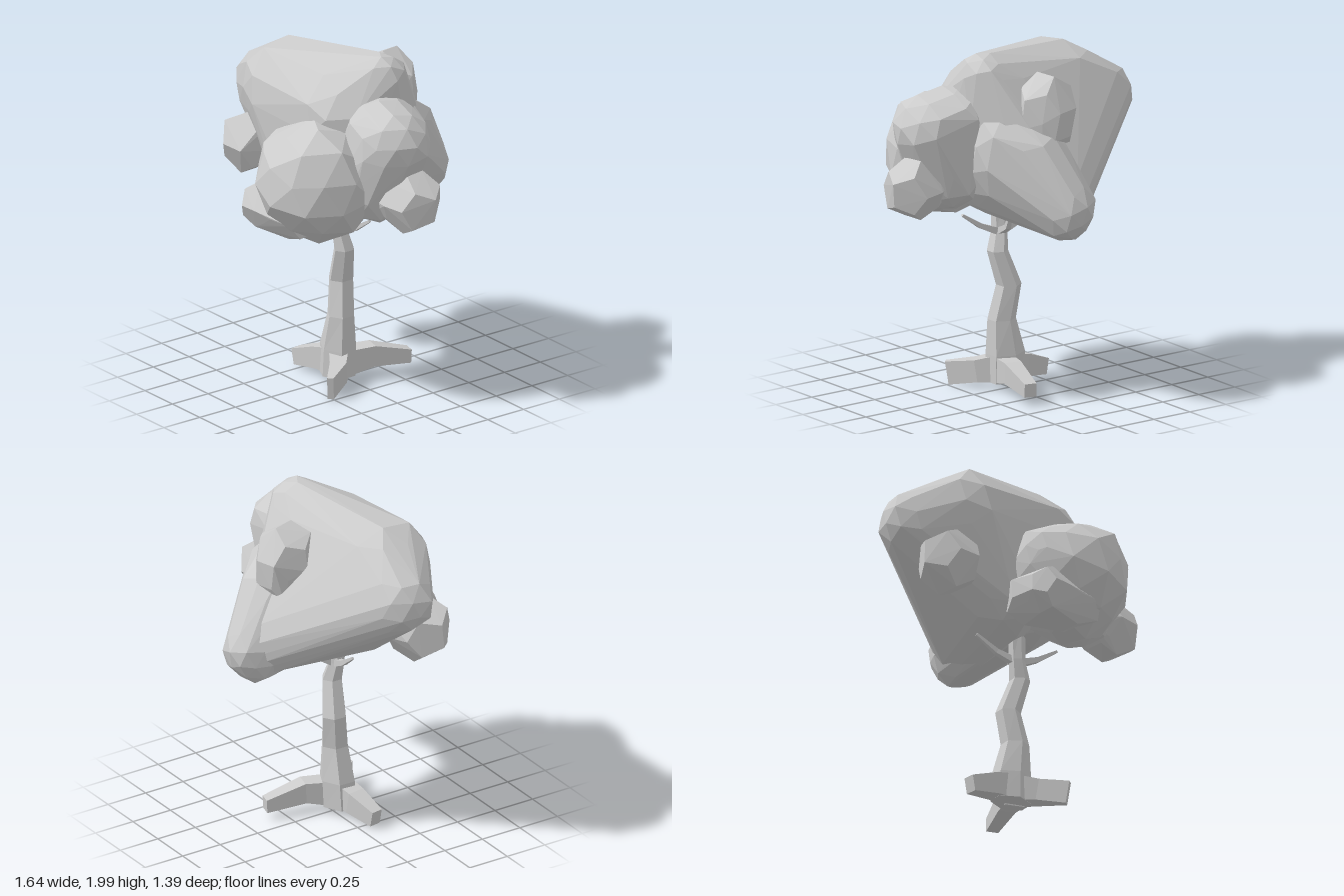
import * as THREE from 'three';
import { ConvexGeometry } from 'three/addons/geometries/ConvexGeometry.js';

const material = new THREE.MeshStandardMaterial({ color: 0xcccccc, flatShading: true });

// Small seeded generator, so every clump is slightly irregular
let seed = 7;
const rand = () => {
  seed = (seed * 16807) % 2147483647;
  return seed / 2147483647;
};

// Foliage clump: convex hull around faceted balls [x, y, z, rx, ry, rz]
function clump(name, balls, small = false) {
  const points = [];
  for (const [x, y, z, rx, ry = rx, rz = rx] of balls) {
    const ball = small ? new THREE.DodecahedronGeometry(1) : new THREE.IcosahedronGeometry(1, 1);
    const seen = new Set();
    const pos = ball.attributes.position;
    for (let i = 0; i < pos.count; i++) {
      const p = new THREE.Vector3().fromBufferAttribute(pos, i);
      const key = p.toArray().map(v => Math.round(v * 100)).join();
      if (seen.has(key)) continue;
      seen.add(key);
      p.applyEuler(new THREE.Euler(0.4, 0.7, 0.2)).multiplyScalar(0.95 + 0.13 * rand());
      points.push(new THREE.Vector3(x + p.x * rx, y + p.y * ry, z + p.z * rz));
    }
  }
  const mesh = new THREE.Mesh(new ConvexGeometry(points), material);
  mesh.name = name;
  return mesh;
}

// Limb: faceted loft through stations [x, y, z, half width, half height]
function limb(name, stations, sides, ref = new THREE.Vector3(0, 1, 0)) {
  const at = i => new THREE.Vector3(...stations[i].slice(0, 3));
  const last = stations.length - 1;
  const dir = at(last).sub(at(0)).normalize();
  const u = ref.clone().cross(dir).normalize();
  const v = dir.clone().cross(u);
  const verts = [], index = [];
  stations.forEach(([, , , w, h], i) => {
    for (let j = 0; j < sides; j++) {
      const a = (j + 0.5) / sides * Math.PI * 2;
      const p = at(i).addScaledVector(u, Math.cos(a) * w).addScaledVector(v, Math.sin(a) * h);
      verts.push(p.x, p.y, p.z);
      if (i === last) continue;
      const k = (j + 1) % sides, r = i * sides, s = r + sides;
      index.push(r + j, r + k, s + k, r + j, s + k, s + j);
    }
  });
  // end caps
  for (let j = 1; j < sides - 1; j++) {
    const e = last * sides;
    index.push(0, j + 1, j, e, e + j, e + j + 1);
  }
  const geometry = new THREE.BufferGeometry();
  geometry.setAttribute('position', new THREE.Float32BufferAttribute(verts, 3));
  geometry.setIndex(index);
  const flat = geometry.toNonIndexed();
  flat.computeVertexNormals();
  const mesh = new THREE.Mesh(flat, material);
  mesh.name = name;
  return mesh;
}

export function createModel() {
  const tree = new THREE.Group();
  tree.name = 'tree';

  // Crooked trunk
  tree.add(limb('trunk', [
    [0.0, 0.04, 0.04, 0.12, 0.1],
    [0.005, 0.2, 0.035, 0.115, 0.1],
    [0.03, 0.4, 0.035, 0.08, 0.08],
    [0.0, 0.6, 0.01, 0.07, 0.075],
    [0.06, 0.8, 0.035, 0.058, 0.062],
    [0.035, 0.91, 0.05, 0.045, 0.05],
    [0.025, 1.12, 0.06, 0.05, 0.045],
  ], 6, new THREE.Vector3(0, 0, 1)));

  // Three spreading roots
  const roots = new THREE.Group();
  roots.name = 'roots';
  roots.add(
    limb('rightRoot', [
      [0, 0.12, 0.04, 0.08, 0.11], [-0.13, 0.105, 0.06, 0.075, 0.09], [-0.3, 0.06, 0.09, 0.05, 0.065],
    ], 4),
    limb('frontRoot', [
      [0.02, 0.12, 0.04, 0.08, 0.11], [0.13, 0.1, 0.13, 0.065, 0.09], [0.235, 0.07, 0.265, 0.025, 0.095],
    ], 4),
    limb('backRoot', [
      [0.03, 0.11, 0.03, 0.08, 0.11], [0.085, 0.135, -0.14, 0.07, 0.085], [0.13, 0.09, -0.365, 0.05, 0.055],
    ], 4),
  );
  tree.add(roots);

  // Thin branches reaching into the crown
  const branches = new THREE.Group();
  branches.name = 'branches';
  const tips = [[-0.2, 1.04, 0.0], [0.3, 1.04, 0.04], [0.08, 1.08, -0.13]];
  for (const [x, y, z] of tips) {
    branches.add(limb('branch', [
      [0.04, 0.9, 0.045, 0.035, 0.03],
      [0.04 + (x - 0.04) * 0.5, 0.955, 0.045 + (z - 0.045) * 0.6, 0.022, 0.02],
      [x, y, z, 0.01, 0.01],
    ], 4));
  }
  tree.add(branches);

  // Faceted crown
  const crown = new THREE.Group();
  crown.name = 'crown';
  crown.add(
    clump('mainFoliage', [
      [-0.62, 1.59, 0.03, 0.205, 0.19, 0.2],
      [-0.36, 1.67, 0.09, 0.25, 0.26, 0.29],
      [0.13, 1.64, 0.02, 0.27, 0.28, 0.35],
      [0.24, 1.84, -0.08, 0.14, 0.155, 0.15],
      [-0.08, 1.25, 0.12, 0.24, 0.23, 0.24],
      [-0.02, 1.2, -0.46, 0.14, 0.19, 0.16],
    ]),
    clump('backFoliage', [
      [0.18, 1.44, -0.2, 0.21, 0.3, 0.2],
      [0.08, 1.4, -0.34, 0.2, 0.24, 0.19],
      [0, 1.16, -0.52, 0.16, 0.185, 0.17],
      [0.1, 1.25, 0, 0.24, 0.22, 0.24],
    ]),
    clump('frontFoliage', [
      [0.2, 1.33, 0.34, 0.34, 0.34, 0.345],
      [0.03, 1.4, 0.33, 0.2, 0.19, 0.22],
    ]),
    clump('lowerFrontFoliage', [
      [-0.06, 1.15, 0.51, 0.125, 0.14, 0.14],
      [-0.05, 1.16, 0.34, 0.16, 0.15, 0.16],
      [0.15, 1.12, 0.42, 0.18, 0.13, 0.17],
    ], true),
    clump('leftFoliage', [
      [0.52, 1.57, 0.05, 0.2, 0.2, 0.22],
      [0.38, 1.62, 0.03, 0.14, 0.18, 0.22],
      [0.41, 1.33, 0.06, 0.2, 0.24, 0.25],
    ]),
    clump('leftTuft', [[0.66, 1.26, 0.02, 0.17, 0.19, 0.17], [0.55, 1.26, 0.04, 0.12, 0.13, 0.14]], true),
    clump('rightTuft', [[-0.53, 1.305, 0.23, 0.185], [-0.45, 1.38, 0.17, 0.14]], true),
    clump('backTuft', [[-0.01, 1.71, -0.32, 0.18, 0.19, 0.17], [0.02, 1.55, -0.32, 0.18, 0.18, 0.17]], true),
  );
  tree.add(crown);
  return tree;
}
